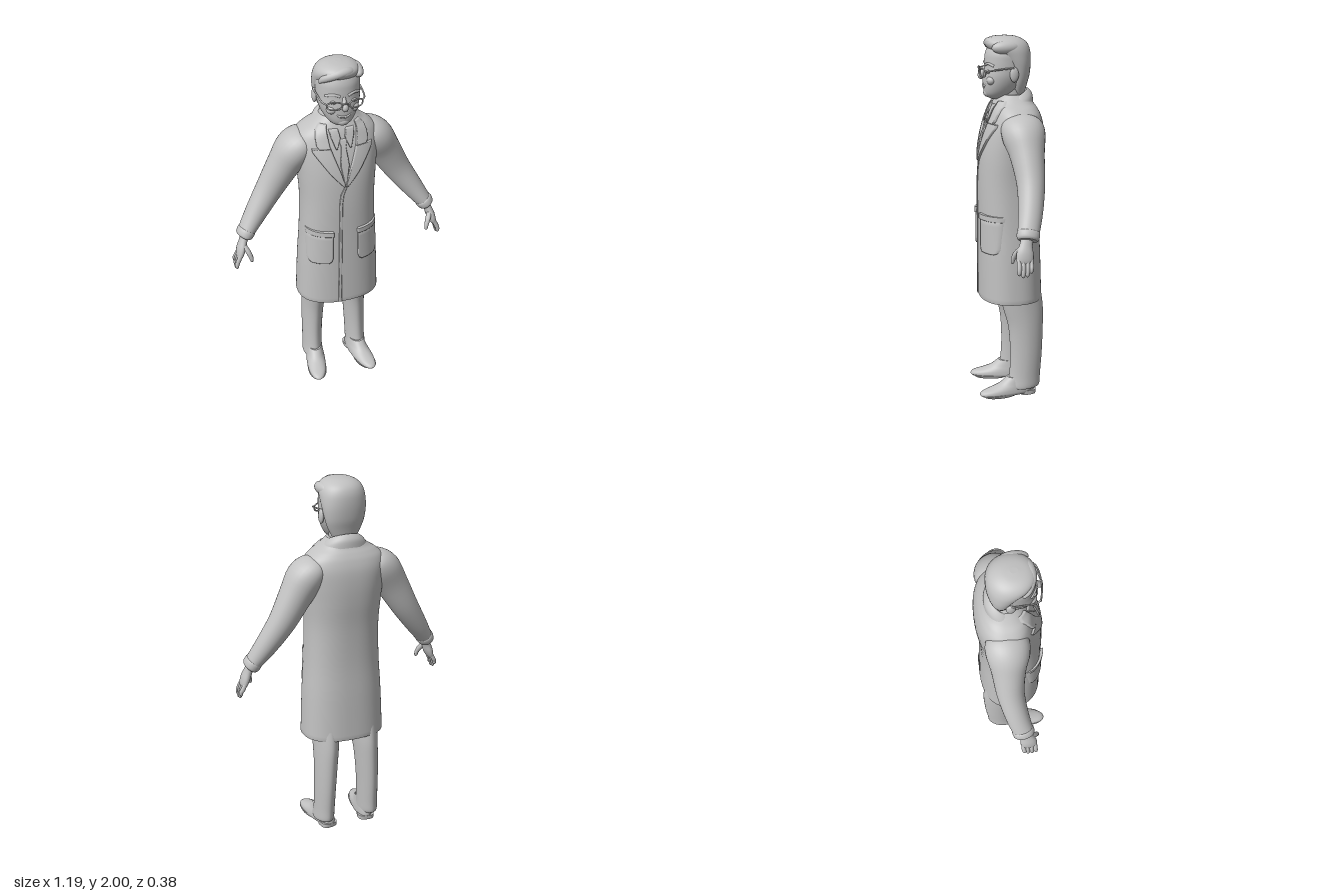
import * as THREE from 'three';

const grey = new THREE.MeshStandardMaterial({ color: 0xc2c2c2 });
grey.name = 'plain grey';

const V = (x, y, z) => new THREE.Vector3(x, y, z);

// Catmull-Rom subdivision of rows of numbers
function smooth(rows, k = 4) {
  const out = [];
  for (let i = 0; i < rows.length - 1; i++) {
    const a = rows[Math.max(i - 1, 0)], b = rows[i], c = rows[i + 1], d = rows[Math.min(i + 2, rows.length - 1)];
    for (let j = 0; j < k; j++) {
      const t = j / k;
      out.push(b.map((v, n) => {
        const p = c[n] - a[n], q = 2 * a[n] - 5 * v + 4 * c[n] - d[n], r = 3 * (v - c[n]) + d[n] - a[n];
        return v + 0.5 * t * (p + t * (q + t * r));
      }));
    }
  }
  out.push(rows[rows.length - 1]);
  return out;
}

// Skin over closed rings, capped at both ends
function skin(rings) {
  const n = rings[0].length, pos = [], idx = [];
  rings.forEach(r => r.forEach(p => pos.push(p.x, p.y, p.z)));
  for (let i = 0; i < rings.length - 1; i++) for (let j = 0; j < n; j++) {
    const a = i * n + j, b = i * n + (j + 1) % n;
    idx.push(a, b, a + n, b, b + n, a + n);
  }
  [0, rings.length - 1].forEach((i, end) => {
    const c = V(0, 0, 0), base = pos.length / 3;
    rings[i].forEach(p => c.addScaledVector(p, 1 / n));
    [c, ...rings[i]].forEach(p => pos.push(p.x, p.y, p.z));
    for (let j = 0; j < n; j++) {
      const a = base + 1 + j, b = base + 1 + (j + 1) % n;
      if (end) idx.push(base, a, b);
      else idx.push(base, b, a);
    }
  });
  const g = new THREE.BufferGeometry();
  g.setAttribute('position', new THREE.Float32BufferAttribute(pos, 3));
  g.setIndex(idx);
  g.computeVertexNormals();
  return g;
}

// Stack of level rings: rows of [y, halfWidth, zFront, zBack, centreX, backTilt]
const pw = (v, e) => Math.sign(v) * Math.abs(v) ** e;
const stack = (rows, n = 2, seg = 48) => skin(rows.map(([y, rx, zf, zb, cx = 0, tilt = 0]) =>
  Array.from({ length: seg }, (_, j) => {
    const a = j / seg * Math.PI * 2, cz = pw(Math.cos(a), 2 / n);
    return V(cx + rx * pw(Math.sin(a), 2 / n), y - tilt * cz, (zf + zb) / 2 + (zf - zb) / 2 * cz);
  })));

// Limb along a path: rows of [x, y, z, radius across, radius front to back]
function limb(rows, s = 1, seg = 20) {
  const c = rows.map(r => V(s * r[0], r[1], r[2]));
  return skin(rows.map((r, i) => {
    const T = c[Math.min(i + 1, c.length - 1)].clone().sub(c[Math.max(i - 1, 0)]).normalize();
    const B = V(0, 0, 1).addScaledVector(T, -T.z).normalize(), A = B.clone().cross(T);
    return Array.from({ length: seg }, (_, j) => {
      const t = j / seg * Math.PI * 2;
      return c[i].clone().addScaledVector(A, r[3] * Math.cos(t)).addScaledVector(B, r[4] * Math.sin(t));
    });
  }));
}

// Coat body and the height of its front surface
const COAT_N = 2.4;
const coatRows = smooth([
  [0.56, 0.232, 0.165, -0.18], [0.8, 0.222, 0.165, -0.173], [1.0, 0.209, 0.165, -0.166], [1.2, 0.203, 0.165, -0.171],
  [1.35, 0.212, 0.158, -0.184], [1.45, 0.222, 0.143, -0.188], [1.53, 0.228, 0.122, -0.183], [1.585, 0.215, 0.102, -0.168],
  [1.62, 0.18, 0.09, -0.15], [1.645, 0.14, 0.078, -0.133], [1.67, 0.11, 0.065, -0.12], [1.69, 0.09, 0.05, -0.105]], 6);
function frontZ(x, y) {
  const i = Math.max(coatRows.findIndex(r => r[0] >= y), 1);
  const a = coatRows[i - 1], b = coatRows[i], t = (y - a[0]) / (b[0] - a[0]);
  const [rx, zf, zb] = [1, 2, 3].map(k => a[k] + (b[k] - a[k]) * t);
  return (zf + zb) / 2 + (zf - zb) / 2 * Math.max(0, 1 - Math.abs(x / rx) ** COAT_N) ** (1 / COAT_N);
}

// Raised cloth lying on the coat front: rows of [y, x inner, x outer], rising
function patch(rows, h, s = 1, nx = 10) {
  const dense = [rows[0]], pos = [], idx = [];
  for (let i = 1; i < rows.length; i++) for (let j = 1; j <= 5; j++) {
    dense.push(rows[i].map((v, n) => rows[i - 1][n] + (v - rows[i - 1][n]) * j / 5));
  }
  const all = [dense[0], ...dense, dense[dense.length - 1]], w = nx + 3;
  all.forEach(([y, a, b], j) => {
    const lo = Math.min(s * a, s * b), hi = Math.max(s * a, s * b);
    for (let i = 0; i < w; i++) {
      const x = lo + (hi - lo) * THREE.MathUtils.clamp((i - 1) / nx, 0, 1);
      const edge = i === 0 || i === w - 1 || j === 0 || j === all.length - 1;
      pos.push(x, y, frontZ(x, y) + (edge ? -0.006 : h));
      if (i && j) {
        const d = j * w + i;
        idx.push(d - w - 1, d - w, d, d - w - 1, d, d - 1);
      }
    }
  });
  const g = new THREE.BufferGeometry();
  g.setAttribute('position', new THREE.Float32BufferAttribute(pos, 3));
  g.setIndex(idx);
  g.computeVertexNormals();
  return g;
}

const tube = (pts, r, closed = false) =>
  new THREE.TubeGeometry(new THREE.CatmullRomCurve3(pts, closed), closed ? 40 : 20, r, 8, closed);
const ball = (x, y, z, rx, ry, rz) => new THREE.SphereGeometry(1, 24, 16).scale(rx, ry, rz).translate(x, y, z);

export function createModel() {
  const model = new THREE.Group();
  const add = (name, geometry, parent = model) => {
    const m = new THREE.Mesh(geometry, grey);
    m.name = name;
    parent.add(m);
  };

  // Coat with a hollow hem, front edge, tie, collar and neck
  add('coat', stack([[0.64, 0.215, 0.15, -0.163], [0.565, 0.222, 0.156, -0.171], [0.558, 0.226, 0.16, -0.175], ...coatRows], COAT_N, 64));
  add('frontEdge', patch([[0.562, -0.04, -0.022], [1.22, -0.035, -0.018], [1.28, -0.028, -0.01], [1.335, 0.0, 0.012]], 0.004, 1, 4));
  add('tie', patch([[1.34, -0.004, 0.004], [1.45, -0.024, 0.024], [1.545, -0.013, 0.013], [1.55, -0.014, 0.014], [1.585, -0.024, 0.024]], 0.007));
  add('coatCollar', stack(smooth([[1.615, 0.142, 0.085, -0.135, 0, 0.035], [1.65, 0.122, 0.07, -0.131, 0, 0.038],
    [1.675, 0.1, 0.058, -0.113, 0, 0.038], [1.678, 0.088, 0.05, -0.1, 0, 0.038], [1.65, 0.08, 0.045, -0.09, 0, 0.03]])));
  add('neck', stack([[1.56, 0.075, 0.055, -0.09], [1.66, 0.07, 0.06, -0.09], [1.76, 0.075, 0.06, -0.095]]));

  // Head and hair
  add('head', stack(smooth([[1.663, 0.025, 0.09, 0.03], [1.672, 0.048, 0.11, -0.01], [1.69, 0.067, 0.127, -0.04], [1.715, 0.084, 0.133, -0.06],
    [1.75, 0.1, 0.135, -0.08], [1.79, 0.111, 0.134, -0.095], [1.83, 0.114, 0.128, -0.1], [1.87, 0.115, 0.126, -0.1],
    [1.91, 0.113, 0.121, -0.1], [1.95, 0.095, 0.1, -0.09], [1.975, 0.05, 0.05, -0.05]]), 2.1));
  add('hair', stack(smooth([[1.69, 0.066, -0.01, -0.088], [1.74, 0.092, 0, -0.1], [1.79, 0.109, 0.01, -0.113], [1.85, 0.12, 0.035, -0.12],
    [1.9, 0.123, 0.075, -0.12], [1.935, 0.121, 0.112, -0.114], [1.962, 0.11, 0.126, -0.1], [1.982, 0.088, 0.115, -0.075],
    [1.995, 0.055, 0.085, -0.04], [2.0, 0.015, 0.04, 0]]), 2.1));
  add('sideHair', ball(0.093, 1.942, 0.03, 0.033, 0.034, 0.075));
  add('sweptFringe', limb(smooth([[-0.105, 1.91, 0.05, 0.008, 0.012], [-0.085, 1.935, 0.078, 0.02, 0.02], [-0.03, 1.96, 0.1, 0.024, 0.026],
    [0.03, 1.968, 0.095, 0.023, 0.026], [0.07, 1.955, 0.08, 0.01, 0.012]])));

  // Face
  add('nose', limb(smooth([[0, 1.84, 0.122, 0.008, 0.01], [0, 1.815, 0.134, 0.012, 0.013], [0, 1.793, 0.146, 0.017, 0.018],
    [0, 1.78, 0.144, 0.014, 0.014], [0, 1.774, 0.138, 0.004, 0.005]])));
  add('mouth', tube([V(-0.046, 1.749, 0.118), V(-0.02, 1.736, 0.133), V(0.02, 1.736, 0.133), V(0.046, 1.749, 0.118)], 0.0055));
  add('lowerLip', ball(0, 1.727, 0.13, 0.024, 0.007, 0.008));
  add('chin', ball(0, 1.697, 0.106, 0.036, 0.025, 0.028));
  add('glassesBridge', tube([V(-0.02, 1.815, 0.154), V(0, 1.821, 0.158), V(0.02, 1.815, 0.154)], 0.004));

  for (const s of [1, -1]) {
    const side = s > 0 ? 'left' : 'right';
    const put = (name, g) => add(side + name, g);

    // Ear, eye, brow, cheek and glasses
    put('Ear', ball(s * 0.117, 1.803, -0.012, 0.013, 0.04, 0.024));
    put('Eye', ball(s * 0.05, 1.813, 0.113, 0.019, 0.011, 0.012));
    put('Brow', tube([V(s * 0.02, 1.848, 0.126), V(s * 0.055, 1.857, 0.116), V(s * 0.09, 1.845, 0.09)], 0.007));
    put('Cheek', ball(s * 0.057, 1.768, 0.1, 0.03, 0.025, 0.026));
    put('GlassesRim', tube(Array.from({ length: 16 }, (_, i) => {
      const a = i / 16 * Math.PI * 2, x = 0.057 + 0.038 * pw(Math.cos(a), 0.75);
      return V(s * x, 1.81 + 0.021 * pw(Math.sin(a), 0.75), 0.156 - 2 * x * x);
    }), 0.0042, true));
    put('GlassesTemple', tube([V(s * 0.093, 1.818, 0.14), V(s * 0.11, 1.823, 0.12), V(s * 0.119, 1.833, 0.05), V(s * 0.121, 1.838, -0.01)], 0.0045));

    // Lapel, collar points and pocket
    put('Lapel', patch([[1.33, 0, 0.012], [1.4, 0.02, 0.073], [1.47, 0.044, 0.122], [1.525, 0.062, 0.16], [1.545, 0.068, 0.163]], 0.011, s));
    put('CollarLeaf', patch([[1.545, 0.068, 0.128], [1.56, 0.073, 0.138], [1.6, 0.078, 0.14], [1.635, 0.08, 0.132], [1.66, 0.075, 0.108]], 0.012, s));
    put('ShirtCollar', patch([[1.54, 0.034, 0.042], [1.595, 0.012, 0.06], [1.64, 0.022, 0.07]], 0.009, s));
    put('Pocket', patch([[0.838, 0.095, 0.18], [0.85, 0.079, 0.195], [0.87, 0.072, 0.2], [1.025, 0.07, 0.199]], 0.009, s, 16));
    put('PocketBand', patch([[1.02, 0.068, 0.2], [1.028, 0.066, 0.201], [1.042, 0.066, 0.201], [1.05, 0.068, 0.199]], 0.015, s, 16));

    // Sleeve and cuff
    put('Sleeve', limb(smooth([[0.13, 1.575, -0.04, 0.03, 0.06], [0.17, 1.545, -0.04, 0.075, 0.108], [0.222, 1.49, -0.042, 0.1, 0.115],
      [0.282, 1.395, -0.048, 0.09, 0.091], [0.36, 1.262, -0.05, 0.075, 0.074], [0.445, 1.135, -0.03, 0.06, 0.064],
      [0.515, 1.035, -0.003, 0.044, 0.056]]), s, 32));
    put('Cuff', limb(smooth([[0.504, 1.052, -0.007, 0.042, 0.054], [0.51, 1.043, -0.005, 0.049, 0.06], [0.525, 1.02, 0, 0.046, 0.058],
      [0.531, 1.011, 0.002, 0.036, 0.048]], 3), s, 28));

    // Hand
    put('Palm', limb(smooth([[0.518, 1.03, 0.002, 0.024, 0.032], [0.535, 0.99, 0.012, 0.022, 0.034], [0.549, 0.95, 0.02, 0.024, 0.044],
      [0.561, 0.915, 0.023, 0.019, 0.044], [0.568, 0.893, 0.023, 0.01, 0.034]]), s));
    [[0.055, 0.0], [0.034, -0.012], [0.012, -0.008], [-0.008, 0.01]].forEach(([z, dy], i) => put('Finger' + (i + 1), limb(smooth([
      [0.558, 0.925, z, 0.011, 0.011], [0.575, 0.89, z, 0.0125, 0.0125], [0.584, 0.866 + dy, z + 0.002, 0.011, 0.0115],
      [0.584, 0.85 + dy, z + 0.003, 0.009, 0.009], [0.582, 0.843 + dy, z + 0.003, 0.003, 0.003]], 3), s, 12)));
    put('Thumb', limb(smooth([[0.538, 0.975, 0.035, 0.014, 0.016], [0.521, 0.945, 0.06, 0.014, 0.016], [0.509, 0.915, 0.073, 0.012, 0.012],
      [0.506, 0.893, 0.077, 0.009, 0.009], [0.506, 0.886, 0.077, 0.003, 0.003]], 3), s, 12));

    // Trouser leg with a soft front crease
    put('TrouserLeg', stack(smooth([[0.045, 0.054, 0.03, -0.14, s * 0.135], [0.06, 0.057, 0.033, -0.154, s * 0.135],
      [0.12, 0.056, 0.018, -0.158, s * 0.133], [0.25, 0.058, 0.012, -0.168, s * 0.13], [0.4, 0.063, 0.022, -0.174, s * 0.124],
      [0.52, 0.069, 0.052, -0.174, s * 0.118], [0.66, 0.075, 0.08, -0.155, s * 0.114]]), 1.85, 40));

    // Shoe with sole and heel, toes turned out
    const shoe = new THREE.Group();
    shoe.name = side + 'Shoe';
    shoe.position.x = s * 0.133;
    shoe.rotation.y = s * 0.17;
    add('shoeUpper', stack(smooth([[0.012, 0.05, 0.182, -0.128], [0.024, 0.055, 0.193, -0.133], [0.04, 0.054, 0.178, -0.133],
      [0.056, 0.051, 0.125, -0.13], [0.075, 0.047, 0.075, -0.126], [0.11, 0.042, 0.03, -0.115]]), 2.2), shoe);
    add('shoeSole', stack([[0.002, 0.047, 0.155, -0.015], [0.004, 0.05, 0.165, -0.02], [0.02, 0.055, 0.188, -0.03]], 2.2), shoe);
    add('shoeHeel', stack([[0, 0.045, -0.04, -0.13], [0.002, 0.046, -0.039, -0.132], [0.025, 0.047, -0.035, -0.134]], 3), shoe);
    model.add(shoe);
  }
  return model;
}
